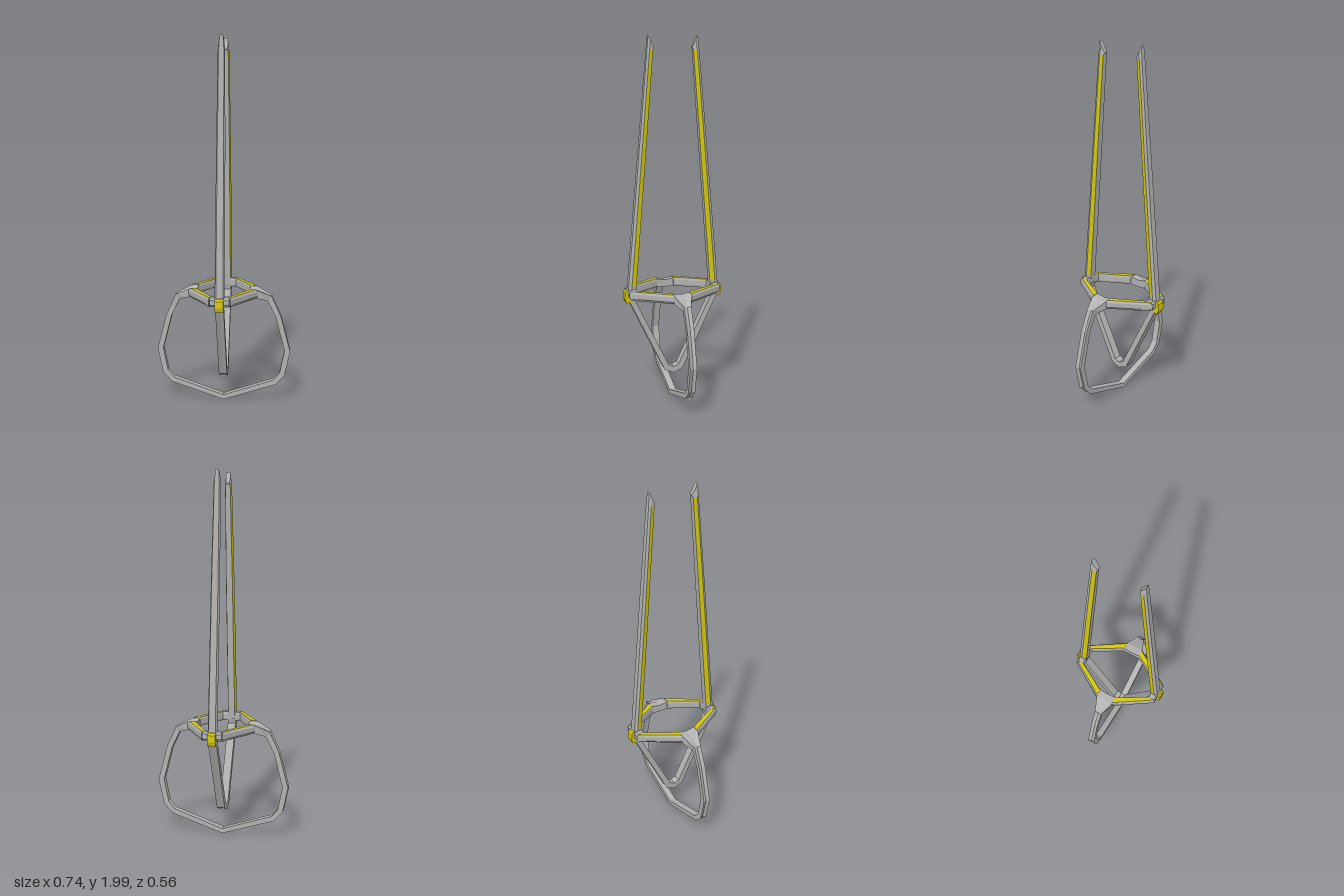
import * as THREE from 'three';

const gray = new THREE.MeshStandardMaterial({ color: 0xb2b2b2, flatShading: true });
const yellow = new THREE.MeshStandardMaterial({ color: 0xd4c80c, flatShading: true });
gray.name = 'gray metal';
yellow.name = 'yellow accent';

// Skin a row of equal-length rings of [x, y, z]; isYellow(row, side) picks the accent faces.
function loft(name, rings, isYellow = () => false) {
  const n = rings[0].length;
  const lists = [[], []];
  for (let r = 0; r < rings.length - 1; r++) {
    for (let s = 0; s < n; s++) {
      const t = (s + 1) % n;
      const a = rings[r][s], b = rings[r][t], c = rings[r + 1][t], d = rings[r + 1][s];
      lists[isYellow(r, s) ? 1 : 0].push([a, b, c], [a, c, d]);
    }
  }
  // End caps, fanned round the ring centre
  [rings[0], rings[rings.length - 1]].forEach((ring, end) => {
    const mid = [0, 1, 2].map((k) => ring.reduce((sum, p) => sum + p[k], 0) / n);
    ring.forEach((p, s) => {
      const q = ring[(s + 1) % n];
      lists[0].push(end ? [mid, p, q] : [mid, q, p]);
    });
  });
  // A negative enclosed volume means the faces point inward, so turn them round
  let volume = 0;
  const [A, B, C] = [0, 1, 2].map(() => new THREE.Vector3());
  for (const [a, b, c] of lists.flat()) volume += A.set(...a).dot(B.set(...b).cross(C.set(...c)));
  if (volume < 0) lists.flat().forEach((tri) => tri.reverse());

  const geo = new THREE.BufferGeometry();
  geo.setAttribute('position', new THREE.Float32BufferAttribute(lists.flat(3), 3));
  geo.addGroup(0, lists[0].length * 3, 0);
  if (lists[1].length) geo.addGroup(lists[0].length * 3, lists[1].length * 3, 1);
  geo.computeVertexNormals();
  const mesh = new THREE.Mesh(geo, [gray, yellow]);
  mesh.name = name;
  return mesh;
}

const lerp = THREE.MathUtils.lerp;

// Bevelled bar section: [fraction across, height]; side 0 is the top, side 4 the underside
const barProfile = [
  [0.1, 0.65], [0.8, 0.65], [1, 0.638], [1, 0.612],
  [0.8, 0.6], [0.1, 0.6], [0, 0.612], [0, 0.638],
];

// Spire section at a height: outer face, widest ridge and inner face
function spireRing(y, width, sz, slant = 0) {
  const out = lerp(0.262, 0.136, (y - 0.6) / 1.4);
  const depth = lerp(0.045, 0.032, (y - 0.6) / 1.4);
  return [[-0.7, 0], [0.7, 0], [1, 0.38], [0.72, 1], [-0.72, 1], [-1, 0.38]]
    .map(([x, d]) => [x * width, y - slant * d, sz * (out - depth * d)]);
}

// Grooved band section between an outer and an inner point of a loop
function bandRing([o, u, oi, ui, half], groove, alongX) {
  const g = groove / Math.hypot(o - oi, u - ui);
  const pts = [
    [o, u, -half], [lerp(o, oi, g), lerp(u, ui, g), 0], [o, u, half],
    [oi, ui, half], [oi, ui, -half],
  ];
  return pts.map(([a, y, w]) => (alongX ? [a, y, w] : [w, y, a]));
}

// Complete a half loop, whose last station lies on the centre line
function mirrored(stations) {
  const other = stations.slice(0, -1).reverse().map(([o, u, i, v, h]) => [-o, u, -i, v, h]);
  return [...stations, ...other];
}

export function createModel() {
  const model = new THREE.Group();
  model.name = 'twinSpireFrame';

  for (const sz of [1, -1]) {
    // Leaning spires with accent strips on their inner side bevels
    model.add(loft('spire', [
      spireRing(0.61, 0.026, sz),
      spireRing(0.67, 0.026, sz),
      spireRing(1.4, 0.024, sz),
      spireRing(1.93, 0.019, sz),
      spireRing(2, 0.013, sz, 0.06),
    ], (row, side) => (row === 1 || row === 2) && (side === 2 || side === 4)));

    // Joint blocks beneath the spires
    model.add(loft('spireJoint', [-0.052, 0.052].map((x) =>
      barProfile.map(([t, y]) => [x, y, sz * lerp(0.215, 0.259, t)]))));

    // Accent end caps
    const capShape = new THREE.Shape([
      [0.225, 0.646], [0.267, 0.646], [0.276, 0.635], [0.278, 0.6], [0.27, 0.577], [0.242, 0.577],
    ].map(([z, y]) => new THREE.Vector2(-z, y)));
    const capGeo = new THREE.ExtrudeGeometry(capShape, { depth: 0.045, bevelEnabled: false });
    capGeo.translate(0, 0, -0.0225).rotateY(sz * Math.PI / 2);
    const cap = new THREE.Mesh(capGeo, yellow);
    cap.name = 'endCap';
    model.add(cap);

    // Diagonal bars of the level frame
    for (const sx of [1, -1]) {
      model.add(loft('frameBar', [
        barProfile.map(([t, y]) => [sx * lerp(0.05, 0.056, t), y, sz * lerp(0.214, 0.26, t)]),
        barProfile.map(([t, y]) => [sx * lerp(0.143, 0.19, t), y, sz * 0.049]),
      ], (row, side) => side === 0 || side === 4));
    }
  }

  // Wide loop hanging from the two side hubs: outer x, y, inner x, y, half width
  const sideLoop = mirrored([
    [0.145, 0.648, 0.145, 0.6, 0.049],
    [0.19, 0.645, 0.188, 0.6, 0.049],
    [0.265, 0.607, 0.245, 0.578, 0.02],
    [0.317, 0.495, 0.29, 0.485, 0.019],
    [0.37, 0.295, 0.338, 0.297, 0.019],
    [0.34, 0.156, 0.312, 0.168, 0.019],
    [0.292, 0.102, 0.278, 0.127, 0.019],
    [0, 0.006, 0, 0.033, 0.019],
  ]);
  model.add(loft('sideLoop', sideLoop.map((s) => bandRing(s, 0.008, true))));

  // Narrow pointed brace joining the spire joints: outer z, y, inner z, y, half width
  const brace = mirrored([
    [0.258, 0.615, 0.213, 0.615, 0.0225],
    [0.258, 0.595, 0.22, 0.585, 0.0225],
    [0.053, 0.165, 0.028, 0.19, 0.0225],
    [0, 0.142, 0, 0.178, 0.0225],
  ]);
  model.add(loft('pointedBrace', brace.map((s) => bandRing(s, 0.006, false))));

  return model;
}
